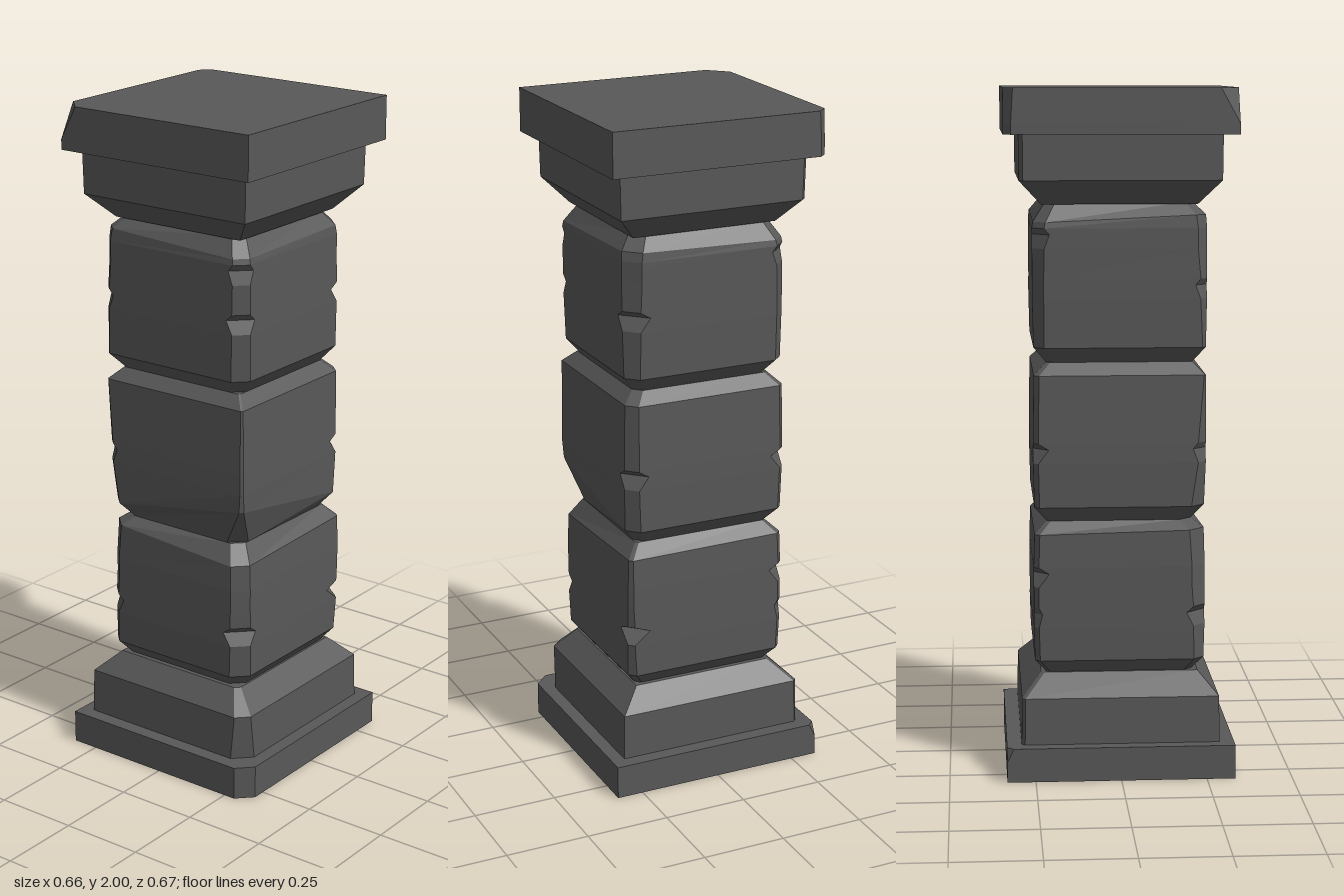
import * as THREE from 'three';

const material = new THREE.MeshStandardMaterial({ color: 0x585858, flatShading: true });
const CORNERS = [[1, 1], [1, -1], [-1, -1], [-1, 1]];

// Square ring with its own chamfer and lift at each corner, counter-clockwise from above
function ring({ y, hx, hz, c, dy = [0, 0, 0, 0] }) {
  return CORNERS.flatMap(([sx, sz], i) => {
    const onZ = new THREE.Vector3(sx * (hx - c[i]), y + dy[i], sz * hz);
    const onX = new THREE.Vector3(sx * hx, y + dy[i], sz * (hz - c[i]));
    return i % 2 ? [onX, onZ] : [onZ, onX];
  });
}

// Closed stone through a stack of rings
function stone(name, levels) {
  const rings = levels.map(ring);
  const pos = [];
  const tri = (a, b, d) => {
    const area = b.clone().sub(a).cross(d.clone().sub(a)).length();
    if (area > 1e-8) for (const p of [a, b, d]) pos.push(p.x, p.y, p.z);
  };
  for (let k = 0; k + 1 < rings.length; k++) {
    const lo = rings[k], hi = rings[k + 1];
    for (let i = 0; i < 8; i++) {
      const j = (i + 1) % 8;
      tri(lo[i], lo[j], hi[j]);
      tri(lo[i], hi[j], hi[i]);
    }
  }
  const bottom = rings[0], top = rings[rings.length - 1];
  for (let i = 1; i < 7; i++) {
    tri(top[0], top[i], top[i + 1]);
    tri(bottom[0], bottom[i + 1], bottom[i]);
  }
  const geometry = new THREE.BufferGeometry();
  geometry.setAttribute('position', new THREE.Float32BufferAttribute(pos, 3));
  geometry.computeVertexNormals();
  const mesh = new THREE.Mesh(geometry, material);
  mesh.name = name;
  return mesh;
}

// Shaft block: bevelled top and bottom, worn corners, chips cut into the corners
function shaftBlock(name, { y0, y1, low, high, chips, lowLift, highLift, foot = low.map((v) => v * 0.8) }) {
  const ya = y0 + 0.045, yb = y1 - 0.045;
  const wear = (y) => low.map((v, i) => THREE.MathUtils.lerp(v, high[i], (y - ya) / (yb - ya)));
  const level = (y, h, c, dy) => ({ y, hx: h, hz: h, c, dy });
  const levels = [level(y0, 0.212, foot), level(ya, 0.248, low, lowLift)];
  for (const [y, depth] of chips) {
    levels.push(level(y - 0.04, 0.251, wear(y)));
    levels.push(level(y, 0.251, wear(y).map((v, i) => v + depth[i])));
    levels.push(level(y + 0.018, 0.251, wear(y)));
  }
  levels.push(level(yb, 0.248, high, highLift), level(y1, 0.212, high.map((v) => v * 0.8)));
  return stone(name, levels);
}

export function createModel() {
  const group = new THREE.Group();
  group.name = 'stonePillar';

  // Base
  group.add(stone('baseSlab', [
    { y: 0, hx: 0.33, hz: 0.333, c: [0.045, 0, 0, 0] },
    { y: 0.06, hx: 0.33, hz: 0.333, c: [0.045, 0, 0, 0] },
    { y: 0.1, hx: 0.33, hz: 0.333, c: [0.045, 0, 0.02, 0] },
  ]));
  group.add(stone('basePlinth', [
    { y: 0.1, hx: 0.29, hz: 0.29, c: [0.05, 0, 0.01, 0] },
    { y: 0.237, hx: 0.287, hz: 0.288, c: [0.035, 0, 0.01, 0] },
    { y: 0.3, hx: 0.222, hz: 0.23, c: [0.015, 0, 0.01, 0] },
  ]));

  // Shaft
  group.add(shaftBlock('lowerBlock', {
    y0: 0.295, y1: 0.75,
    low: [0.045, 0.02, 0.015, 0.03], high: [0.04, 0.01, 0.015, 0.045],
    chips: [[0.48, [0.025, 0.05, 0.01, 0.02]], [0.6, [0, 0, 0.03, 0]]],
    highLift: [-0.01, 0.005, 0.01, 0.02],
  }));
  group.add(shaftBlock('middleBlock', {
    y0: 0.75, y1: 1.215,
    low: [0.01, 0.035, 0.015, 0.04], high: [0.005, 0.03, 0.015, 0.005],
    foot: [0.045, 0.03, 0.012, 0.035],
    chips: [[0.965, [0, 0.03, 0.03, 0.015]]],
    lowLift: [0.075, 0, 0, 0],
    highLift: [0.01, 0.01, 0.01, 0.01],
  }));
  group.add(shaftBlock('upperBlock', {
    y0: 1.215, y1: 1.675,
    low: [0.04, 0.035, 0.03, 0.01], high: [0.035, 0.045, 0.035, 0.03],
    chips: [[1.44, [0.02, 0.03, 0, 0.015]], [1.585, [0.015, 0, 0.015, 0]]],
    highLift: [-0.01, 0, -0.01, 0.01],
  }));

  // Capital
  group.add(stone('capitalNeck', [
    { y: 1.67, hx: 0.222, hz: 0.225, c: [0, 0, 0, 0] },
    { y: 1.74, hx: 0.287, hz: 0.289, c: [0, 0, 0.012, 0] },
    { y: 1.87, hx: 0.29, hz: 0.29, c: [0, 0, 0.012, 0] },
  ]));
  group.add(stone('capitalSlab', [
    { y: 1.87, hx: 0.33, hz: 0.333, c: [0, 0, 0.022, 0] },
    { y: 1.9, hx: 0.33, hz: 0.333, c: [0, 0, 0.022, 0] },
    { y: 2, hx: 0.33, hz: 0.333, c: [0, 0, 0.028, 0.055] },
  ]));
  return group;
}
